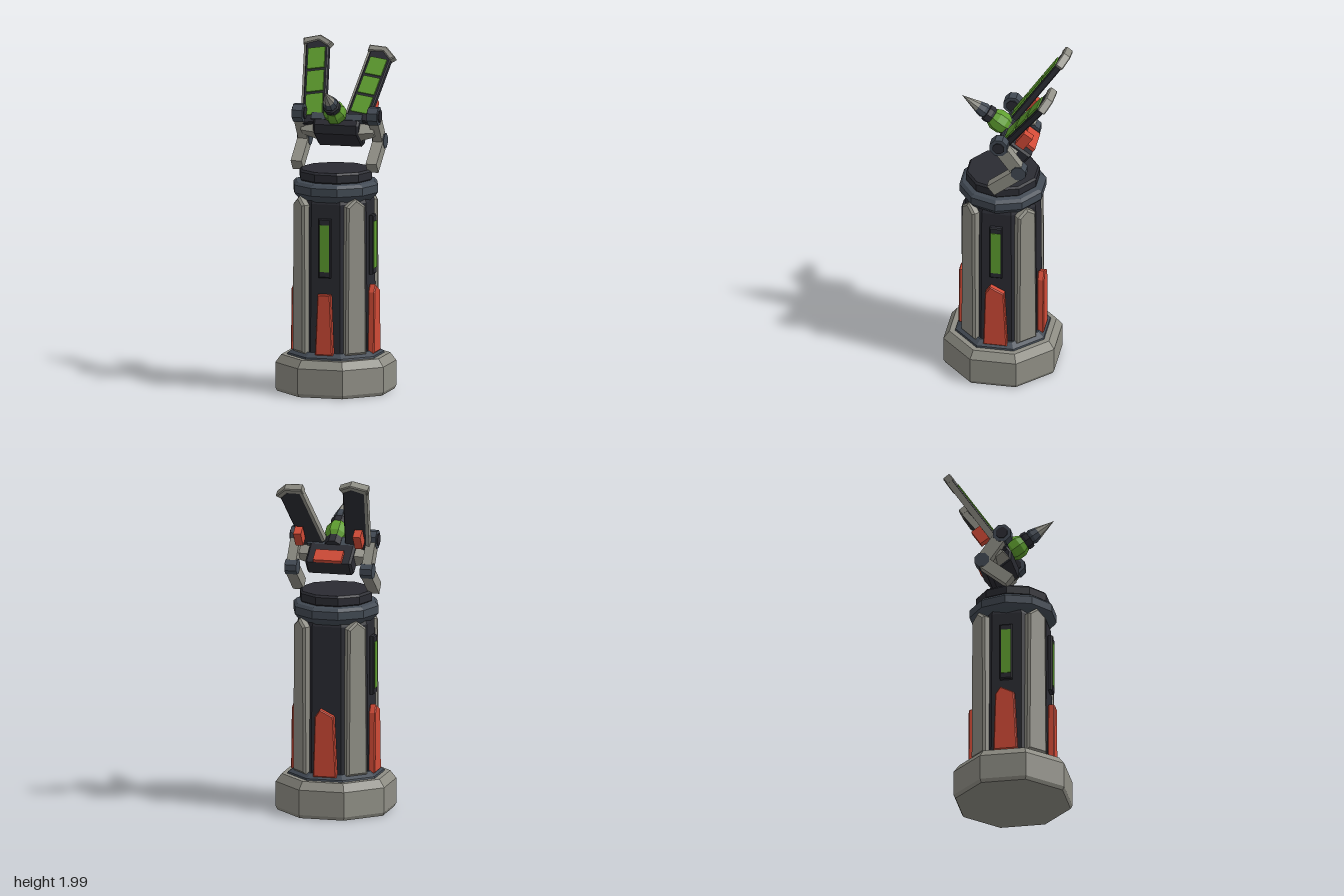
import * as THREE from 'three';

const mat = (color) => new THREE.MeshStandardMaterial({ color, flatShading: true, side: THREE.DoubleSide });
const GREY = mat(0x8f8e85), DARK = mat(0x2a2b32), SLATE = mat(0x424a54), RED = mat(0xd04a36), GREEN = mat(0x5f9f2f);

function add(parent, name, geometry, material, x = 0, y = 0, z = 0, rx = 0) {
  const m = new THREE.Mesh(geometry, material);
  m.name = name;
  m.position.set(x, y, z);
  m.rotation.x = rx;
  parent.add(m);
  return m;
}
const box = (w, h, d) => new THREE.BoxGeometry(w, h, d);

// Faceted solid of revolution; radii are measured to the flats, one flat faces front
function turned(profile, sides) {
  const k = 1 / Math.cos(Math.PI / sides);
  return new THREE.LatheGeometry(profile.map(([r, y]) => new THREE.Vector2(r * k, y)), sides, Math.PI / sides);
}

// Flat outline given thickness, with a small bevel; back at z = 0
function plate(points, depth, bevel = 0.006) {
  const shape = new THREE.Shape(points.map(([x, y]) => new THREE.Vector2(x, y)));
  const g = new THREE.ExtrudeGeometry(shape, {
    depth: depth - 2 * bevel, bevelEnabled: bevel > 0, bevelSize: bevel,
    bevelThickness: bevel, bevelOffset: -bevel, bevelSegments: 1,
  });
  return g.translate(0, 0, bevel);
}

// Bar in the y-z plane between two [y, z] points
function bar(parent, name, a, b, w, d, x, material) {
  const dy = b[0] - a[0], dz = b[1] - a[1];
  return add(parent, name, box(w, Math.hypot(dy, dz), d), material,
    x, (a[0] + b[0]) / 2, (a[1] + b[1]) / 2, Math.atan2(dz, dy));
}

function buildPillar() {
  const pillar = new THREE.Group();
  pillar.name = 'pillar';
  pillar.position.z = 0.02;

  add(pillar, 'base', turned([[0, 0], [0.31, 0], [0.32, 0.02], [0.32, 0.165], [0.288, 0.21], [0, 0.21]], 8), GREY);
  add(pillar, 'baseRing', turned([[0.26, 0.2], [0.255, 0.22], [0.22, 0.245], [0, 0.245]], 8), SLATE);
  add(pillar, 'column', turned([[0.212, 0.23], [0.205, 1.1], [0.19, 1.14]], 8), DARK);
  add(pillar, 'collar', turned([[0.19, 1.1], [0.222, 1.13], [0.238, 1.15], [0.238, 1.195], [0.222, 1.212], [0.19, 1.22]], 10), SLATE);
  add(pillar, 'cap', turned([[0.19, 1.21], [0.203, 1.225], [0.203, 1.268], [0.193, 1.28], [0, 1.28]], 10), DARK);

  // Pointed ribs on the four diagonal faces
  for (let i = 0; i < 4; i++) {
    const turn = new THREE.Group();
    turn.name = 'ribMount';
    turn.rotation.y = Math.PI / 4 + i * Math.PI / 2;
    pillar.add(turn);
    add(turn, 'rib', plate([[-0.067, 0.235], [0.067, 0.235], [0.06, 1.09], [0, 1.135], [-0.06, 1.09]], 0.055, 0.012), GREY, 0, 0, 0.193);
  }

  // Red guards on all four sides, lights on every side but the back
  const flat = [[-0.052, 0.235], [0.052, 0.235], [0.038, 0.585], [-0.038, 0.585]];
  const pointed = [[-0.07, 0.23], [0.067, 0.23], [0.05, 0.585], [-0.03, 0.625], [-0.06, 0.58]];
  for (let i = 0; i < 4; i++) {
    const side = new THREE.Group();
    side.name = 'pillarSide';
    side.rotation.y = i * Math.PI / 2;
    pillar.add(side);
    add(side, 'guard', plate(i ? pointed : flat, 0.04), RED, 0, 0, 0.208);
    if (i === 2) continue;
    add(side, 'lightFrame', plate([[-0.036, 0.68], [0.036, 0.68], [0.036, 1.02], [-0.036, 1.02]], 0.03), DARK, 0, 0, 0.203);
    add(side, 'light', box(0.056, 0.27, 0.01), GREEN, 0, 0.85, 0.231);
  }
  return pillar;
}

// Wing: local x is its width, y its length, z its lit face
function buildWing(start, end, widthHint) {
  const wing = new THREE.Group();
  wing.name = 'wing';
  const a = new THREE.Vector3(...start), b = new THREE.Vector3(...end);
  const up = b.clone().sub(a), len = up.length();
  up.normalize();
  const normal = new THREE.Vector3(...widthHint).cross(up).normalize();
  const right = up.clone().cross(normal);
  wing.quaternion.setFromRotationMatrix(new THREE.Matrix4().makeBasis(right, up, normal));
  wing.position.copy(a);

  const w = 0.068, top = len + 0.05;
  add(wing, 'wingPlate', plate([[-w, -0.04], [w, -0.04], [w, top - 0.04], [0.015, top], [-w, top]], 0.04), DARK, 0, 0, -0.04);
  add(wing, 'wingTrim', box(0.018, top + 0.01, 0.036), GREY, -w - 0.004, top / 2, -0.025);
  add(wing, 'wingCap', plate([[-w - 0.015, top - 0.025], [0.01, top - 0.012], [w - 0.002, top - 0.055],
    [w + 0.022, top - 0.03], [0.02, top + 0.022], [-w - 0.015, top + 0.015]], 0.05), GREY, 0, 0, -0.044);
  const step = len / 3;
  for (let i = 0; i < 3; i++) {
    add(wing, 'wingCell', box(0.102, step - 0.016, 0.012), GREEN, 0, step * (i + 0.5), 0.002);
  }
  return wing;
}

function buildArm(s) {
  const arm = new THREE.Group();
  arm.name = s > 0 ? 'leftArm' : 'rightArm';
  const shoulder = [1.585, 0], elbow = [1.425, -0.115], tip = [1.29, 0.045], x = s * 0.222;
  bar(arm, 'upperArm', [1.6, 0.012], elbow, 0.055, 0.075, x, GREY);
  bar(arm, 'forearm', [1.41, -0.105], tip, 0.064, 0.07, x, GREY);
  // Octagonal joints on the x axis
  const joint = (name, r, h, [y, z], material) => {
    const g = new THREE.CylinderGeometry(r, r, h, 8).rotateY(Math.PI / 8).rotateZ(Math.PI / 2);
    add(arm, name, g, material, x, y, z);
  };
  joint('shoulderJoint', 0.055, 0.06, shoulder, SLATE);
  joint('shoulderHub', 0.035, 0.075, shoulder, DARK);
  joint('elbowJoint', 0.045, 0.07, elbow, SLATE);
  // Tapered strut from the body to the arm
  const strut = new THREE.CylinderGeometry(0.035, 0.065, 0.1, 4).rotateY(Math.PI / 4).rotateZ(-s * Math.PI / 2);
  add(arm, 'strut', strut, GREY, s * 0.165, 1.49, -0.035, -0.64);
  add(arm, 'shoulderGuard', box(0.045, 0.095, 0.06), RED, s * 0.175, 1.61, -0.135, -0.6);
  return arm;
}

function buildHead() {
  const head = new THREE.Group();
  head.name = 'head';

  // Tilted body, open claw arms at either side
  const tilt = Math.atan2(-0.6, 0.8);
  const body = new THREE.Group();
  body.name = 'body';
  body.position.set(0, 1.486, -0.055);
  body.rotation.x = tilt;
  head.add(body);
  const profile = [[-0.1, -0.04], [-0.08, -0.06], [0.06, -0.06], [0.095, -0.02], [0.095, 0.055], [-0.1, 0.055]];
  add(body, 'bodyShell', plate(profile, 0.27, 0.012).translate(0, 0, -0.135).rotateY(-Math.PI / 2), DARK);
  add(body, 'backPanel', box(0.165, 0.025, 0.08), RED, 0, 0.064, -0.06);
  add(body, 'chinPlate', box(0.3, 0.04, 0.06), SLATE, 0, 0.035, 0.07);

  for (const s of [-1, 1]) head.add(buildArm(s));

  // Nose, pointing forward and up
  const nose = new THREE.Group();
  nose.name = 'nose';
  nose.position.set(0, 1.575, 0);
  nose.rotation.x = Math.atan2(0.82, 0.57);
  head.add(nose);
  add(nose, 'noseMount', turned([[0, -0.06], [0.045, -0.06], [0.045, 0.01]], 8), DARK);
  add(nose, 'noseShell', turned([[0, -0.005], [0.045, -0.005], [0.06, 0.02], [0.06, 0.07], [0.046, 0.1], [0, 0.1]], 8), GREEN);
  add(nose, 'noseCollar', turned([[0.042, 0.095], [0.048, 0.115], [0.046, 0.14], [0, 0.15]], 8), DARK);
  add(nose, 'spikeBase', turned([[0.034, 0.14], [0.041, 0.16], [0.031, 0.2]], 8), SLATE);
  add(nose, 'spike', turned([[0.031, 0.2], [0, 0.312]], 8), GREY);

  // Unequal pair of lit wings
  head.add(buildWing([-0.14, 1.568, -0.012], [-0.193, 1.925, -0.262], [0.1, 0.018, 0]));
  head.add(buildWing([0.123, 1.59, -0.02], [0.185, 1.885, -0.235], [0.1, -0.012, 0.012]));
  return head;
}

export function createModel() {
  const model = new THREE.Group();
  model.name = 'turret';
  model.add(buildPillar(), buildHead());
  return model;
}
